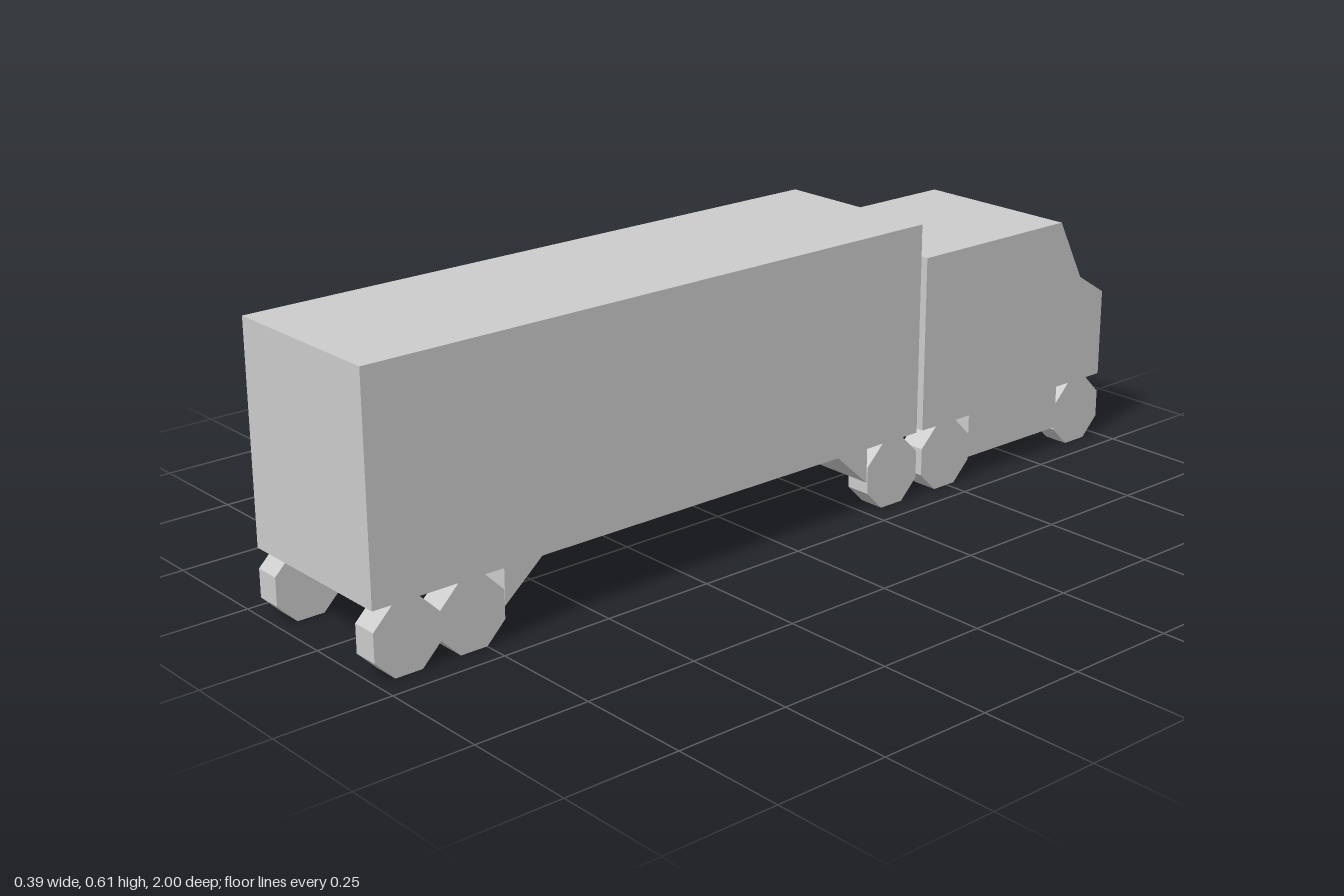
import * as THREE from 'three';

const HALF = 0.195; // half width of the bodies

const material = new THREE.MeshStandardMaterial({ color: 0xcccccc, flatShading: true });
const shellMaterial = new THREE.MeshStandardMaterial({
  color: 0xcccccc, flatShading: true, side: THREE.DoubleSide,
});

// Side profile given as [z, y], extruded across the full width
function extrudeProfile(points) {
  const shape = new THREE.Shape(points.map(([z, y]) => new THREE.Vector2(-z, y)));
  const geo = new THREE.ExtrudeGeometry(shape, { depth: 2 * HALF, bevelEnabled: false });
  geo.translate(0, 0, -HALF);
  geo.rotateY(Math.PI / 2);
  return geo;
}

// Drops the faces that point straight down, leaving an open-bottomed shell
function openBottom(geometry) {
  const src = geometry.index ? geometry.toNonIndexed() : geometry;
  const pos = src.attributes.position;
  const kept = [];
  const tri = new THREE.Triangle();
  const normal = new THREE.Vector3();
  for (let i = 0; i < pos.count; i += 3) {
    tri.setFromAttributeAndIndices(pos, i, i + 1, i + 2);
    tri.getNormal(normal);
    if (normal.y < -0.9) continue;
    for (const p of [tri.a, tri.b, tri.c]) kept.push(p.x, p.y, p.z);
  }
  const out = new THREE.BufferGeometry();
  out.setAttribute('position', new THREE.Float32BufferAttribute(kept, 3));
  out.computeVertexNormals();
  return out;
}

export function createModel() {
  const model = new THREE.Group();
  model.name = 'truck';

  const add = (name, geometry, mat = material) => {
    const mesh = new THREE.Mesh(geometry, mat);
    mesh.name = name;
    model.add(mesh);
    return mesh;
  };

  // Cargo box with a wedge-shaped skirt beside each wheel set
  add('trailer', extrudeProfile([
    [1, 0.147], [0.705, 0.147], [0.705, 0.07], [0.615, 0.147],
    [-0.165, 0.147], [-0.25, 0.07], [-0.25, 0.147], [-0.4, 0.147],
    [-0.4, 0.612], [1, 0.612],
  ]));

  // Cab shell with square wheel arches, sloped windscreen and bonnet
  add('cab', openBottom(extrudeProfile([
    [-0.418, 0.147], [-0.565, 0.147], [-0.565, 0.049], [-0.855, 0.049],
    [-0.855, 0.147], [-1, 0.147], [-1, 0.345], [-0.92, 0.395],
    [-0.847, 0.535], [-0.418, 0.535],
  ])), shellMaterial);

  // Eight-sided wheels standing on a flat
  const flat = 0.0735;
  const width = 0.058;
  const radius = flat / Math.cos(Math.PI / 8);
  const wheelGeo = new THREE.CylinderGeometry(radius, radius, width, 8);
  wheelGeo.rotateY(Math.PI / 8);
  wheelGeo.rotateZ(Math.PI / 2);
  const axles = {
    trailerRear: 0.9265, trailerMiddle: 0.7795, trailerFront: -0.327,
    cabRear: -0.4915, cabFront: -0.9265,
  };
  for (const [axle, z] of Object.entries(axles)) {
    for (const side of [1, -1]) {
      const wheel = add(`${axle}Wheel${side > 0 ? 'Left' : 'Right'}`, wheelGeo);
      wheel.position.set(side * (HALF - width / 2), flat, z);
    }
  }

  return model;
}
